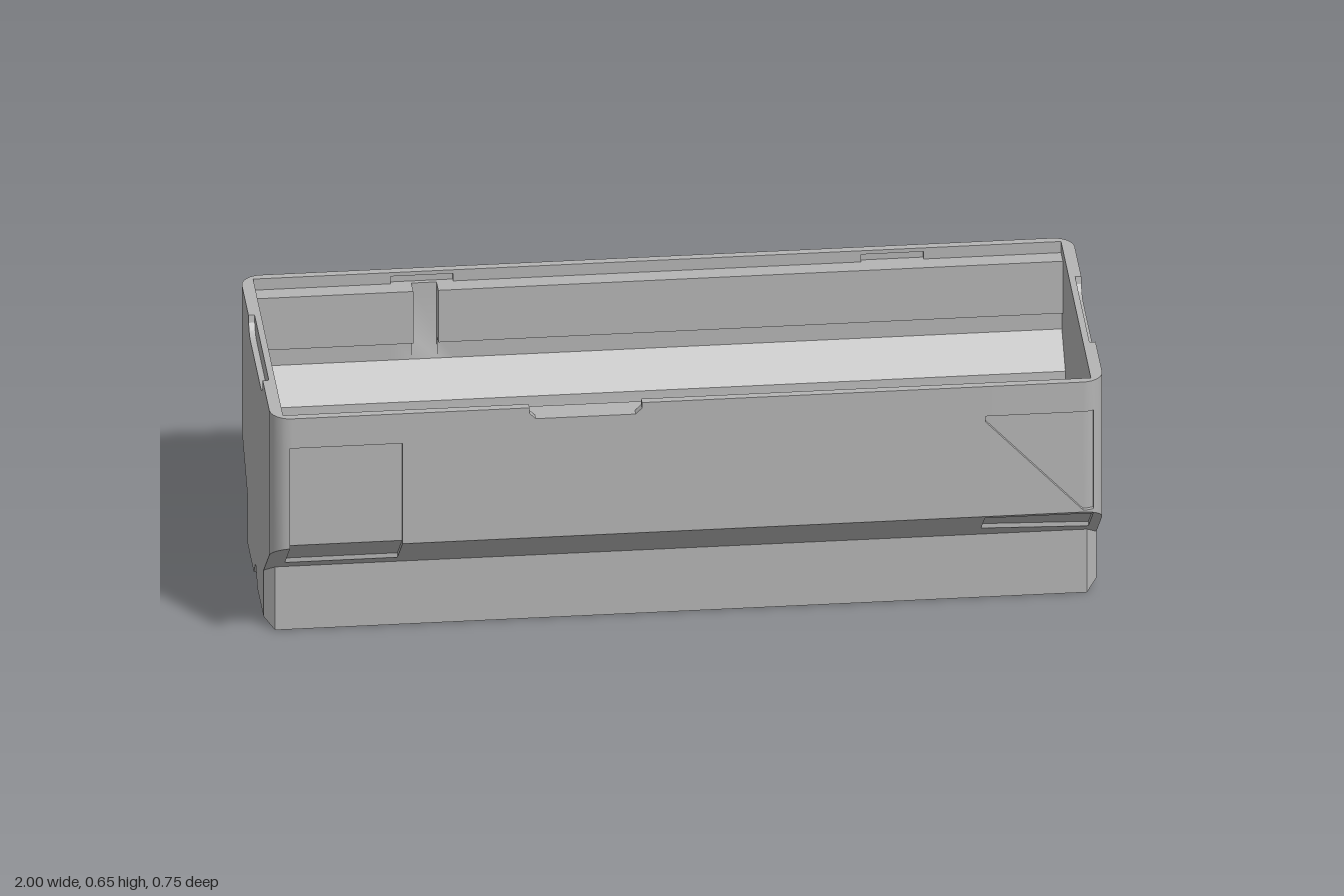
import * as THREE from 'three';
import { toCreasedNormals } from 'three/addons/utils/BufferGeometryUtils.js';

const TOP = 0.65, HALF = 0.375, RADIUS = 0.05;
const INNER_END = 0.97;          // inside face of the end walls
const CORNER = [0, 1, 2, 3, 4, 5, 6].map(i => 0.95 + RADIUS * Math.sin(i * Math.PI / 12));
const END_RECESS = CORNER[3];    // depth reached by the finger recess in each end
const TROUGH_R = 0.25, TROUGH_Y = 0.355;
const TROUGH_Z = [0.25, 0.247, 0.24, 0.22, 0.195, 0.17, 0.166, 0.155, 0.14, 0.125, 0.09, 0.045];

const slopeY = z => 0.30 - (HALF - z) * 0.8125;        // underside slope
const slopeZ = y => HALF - (0.30 - y) / 0.8125;
const troughY = z => TROUGH_Y - Math.sqrt(Math.max(0, TROUGH_R ** 2 - z * z));
const within = (v, a, b) => v > a && v < b;

// Upper edge of an end wall, dipping in the rounded finger recess
function endTop(z, m) {
  if (Math.abs(m) < END_RECESS || z >= 0.17) return TOP;
  return TOP - Math.sqrt(0.045 ** 2 - Math.max(0, z - 0.125) ** 2);
}

// Half cross-section [z, y] from the bottom, up the outside and down the inside.
// m is the middle of the current interval and decides which features apply.
function halfSection(x, m, side) {
  const u = side * x, um = side * m, ax = Math.abs(x);
  const k = Math.max(0, ax - 0.95);
  const w = HALF - RADIUS + Math.sqrt(Math.max(0, RADIUS ** 2 - k * k));
  const c = Math.max(0, ax - 0.975), b = 0.215 - c;

  // recessed label panels: a rectangle and a triangle, repeated on the slope
  let d = 0, e = 0, g = 0, h = 0, yb = 0.45, zt = Math.min(w, 0.36), zb = 0.25;
  if (within(um, -0.955, -0.685)) {
    d = e = 0.01; g = h = 0.012; zt = w - 0.01; zb = slopeZ(0.2);
  } else if (within(um, 0.715, CORNER[2])) {
    const f = (u - 0.715) / (CORNER[2] - 0.715);
    d = 0.01; h = 0.012;
    yb = Math.max(0.305, 0.555 - (u - 0.715) * 1.09);
    zb = slopeZ(0.215 - 0.02 * f);
  }

  // notch through the front rim
  let t = TOP;
  if (side > 0 && within(m, -0.38, -0.11)) t = x < -0.37 || x > -0.12 ? 0.635 : 0.62;

  const p = [
    [0.07 - c, c], [b, c], [b, slopeY(b)],
    [zb, slopeY(zb)], [zb, slopeY(zb) + h], [zt, slopeY(zt) + h], [zt, slopeY(zt) + g],
    [w - e, slopeY(w - e) + g], [w - e, yb], [w - d, yb], [w - d, 0.57], [w, 0.57], [w, t],
  ];

  // rim, lid pockets, stepped wall, ledge and round trough
  const pocket = within(Math.abs(m), 0.49, 0.64) ? 0.365 : 0.355;
  const slot = side < 0 && within(m, -0.59, -0.53) ? 0.354 : 0.31;
  const lip = Math.min(t, 0.64);
  const inner = [
    [0.355, t], [0.355, lip], [pocket, lip], [pocket, 0.62], [slot, 0.62], [slot, 0.48],
    [Math.max(slot, 0.335), 0.48], [0.335, 0.425],
    ...TROUGH_Z.map(z => [z, troughY(z)]),
  ];
  if (Math.abs(m) < INNER_END) return p.concat(inner);

  // solid end wall: the inside is filled up to the top edge
  let last = w;
  for (const [z] of inner) {
    last = Math.min(last, z);
    p.push([last, endTop(last, m)]);
  }
  return p;
}

function section(x, m) {
  const front = halfSection(x, m, 1), back = halfSection(x, m, -1);
  const mid = Math.abs(m) < INNER_END ? troughY(0) : endTop(0, m);
  return [[0, 0.07], ...front, [0, mid], ...back.reverse().map(([z, y]) => [-z, y])]
    .map(([z, y]) => new THREE.Vector3(x, y, z));
}

function trayGeometry() {
  const marks = [...CORNER, INNER_END, 0.955, 0.715, 0.685, 0.64, 0.49];
  const xs = [...new Set([...marks, ...marks.map(v => -v),
    -0.59, -0.53, -0.38, -0.365, -0.125, -0.11])].sort((a, b) => a - b);

  // two sections per interval, so that features start and stop with a step
  const rings = [];
  for (let i = 0; i < xs.length - 1; i++) {
    const m = (xs[i] + xs[i + 1]) / 2;
    rings.push(section(xs[i], m), section(xs[i + 1], m));
  }

  const pos = [], tri = new THREE.Triangle();
  const add = (a, b, c) => {
    tri.set(a, b, c);
    if (tri.getArea() > 1e-9) pos.push(...a.toArray(), ...b.toArray(), ...c.toArray());
  };
  for (let r = 0; r < rings.length - 1; r++) {
    const A = rings[r], B = rings[r + 1], n = A.length;
    for (let i = 0; i < n; i++) {
      const j = (i + 1) % n;
      add(A[i], B[i], A[j]);
      add(B[i], B[j], A[j]);
    }
  }

  // flat end faces
  for (const [ring, dir] of [[rings[0], -1], [rings[rings.length - 1], 1]]) {
    const pts = ring.filter((p, i) => p.distanceTo(ring[(i + 1) % ring.length]) > 1e-6);
    const flat = pts.map(p => new THREE.Vector2(p.z, p.y));
    for (const [a, b, c] of THREE.ShapeUtils.triangulateShape(flat, [])) {
      const ccw = THREE.ShapeUtils.area([flat[a], flat[b], flat[c]]) > 0;
      if (ccw === (dir < 0)) add(pts[a], pts[b], pts[c]);
      else add(pts[a], pts[c], pts[b]);
    }
  }

  const geo = new THREE.BufferGeometry();
  geo.setAttribute('position', new THREE.Float32BufferAttribute(pos, 3));
  return toCreasedNormals(geo, 0.4);
}

export function createModel() {
  const grey = new THREE.MeshStandardMaterial({ color: 0xb4b4b4 });
  grey.name = 'grey plastic';
  const tray = new THREE.Mesh(trayGeometry(), grey);
  tray.name = 'trayBody';
  const model = new THREE.Group();
  model.name = 'storageTray';
  model.add(tray);
  return model;
}
